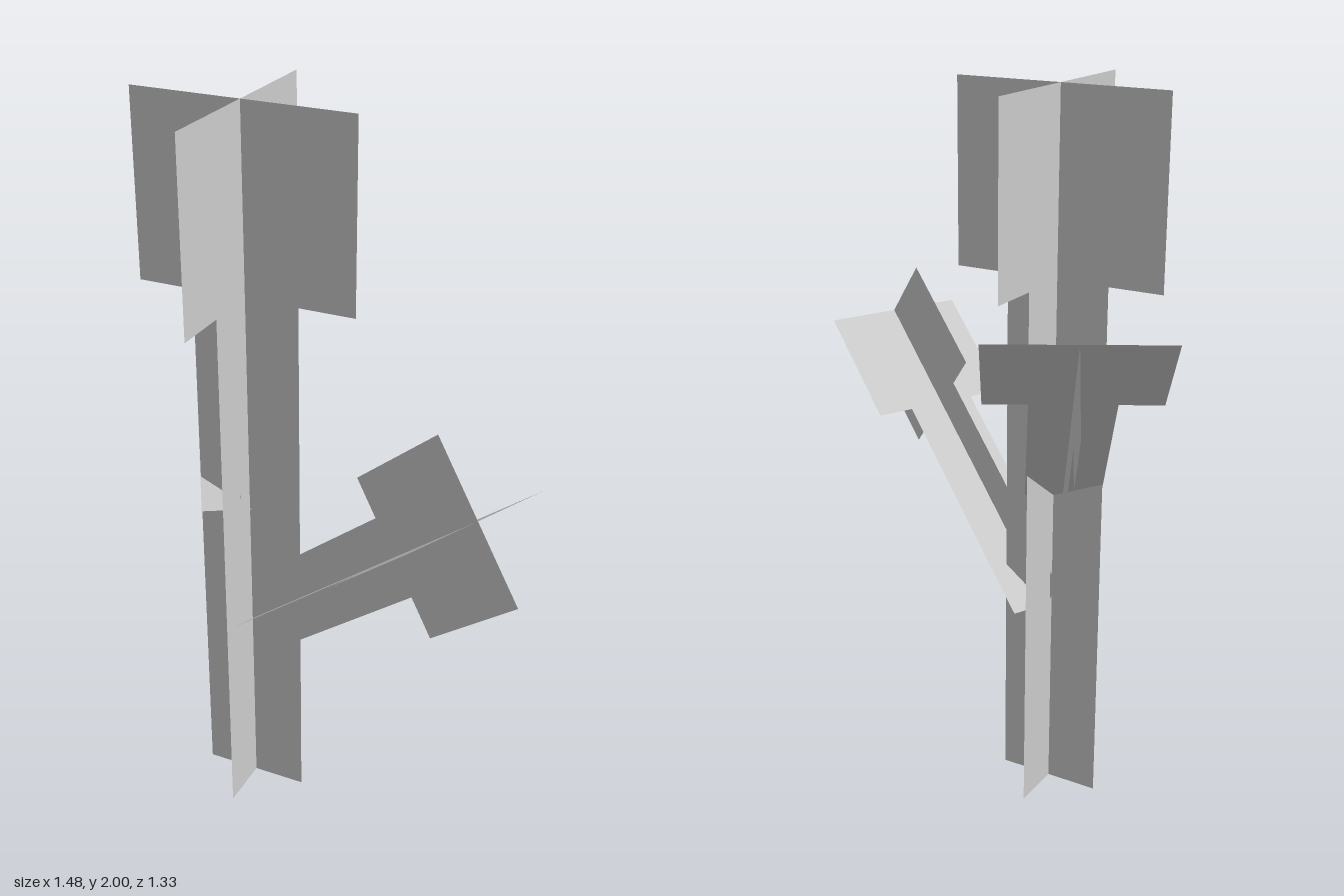
import * as THREE from 'three';

const material = new THREE.MeshStandardMaterial({
  color: 0xcccccc, flatShading: true, side: THREE.DoubleSide,
});
const rad = THREE.MathUtils.degToRad;

// Flat silhouette: narrow stalk with a wider head, growing along +y from the origin
function stemGeometry(stalkHalf, headHalf, headStart, height) {
  const right = [[stalkHalf, 0], [stalkHalf, headStart], [headHalf, headStart], [headHalf, height]];
  const left = right.map(([x, y]) => [-x, y]).reverse();
  const outline = [...right, ...left].map(([x, y]) => new THREE.Vector2(x, y));
  return new THREE.ShapeGeometry(new THREE.Shape(outline));
}

// Two identical sheets crossed at right angles
function crossedStem(name, geometry, position) {
  const group = new THREE.Group();
  group.name = name;
  for (const i of [0, 1]) {
    const sheet = new THREE.Mesh(geometry, material);
    sheet.name = `${name}Sheet${i + 1}`;
    sheet.rotation.y = i * Math.PI / 2;
    group.add(sheet);
  }
  group.position.set(...position);
  return group;
}

export function createModel() {
  const model = new THREE.Group();
  model.name = 'branchingPlant';

  // Upright main stem
  model.add(crossedStem('mainStem', stemGeometry(0.148, 0.302, 1.5, 2), [-0.135, 0, 0.13]));

  // Smaller side branches, tilted outwards and turned about the stem
  const branchGeometry = stemGeometry(0.104, 0.211, 0.7, 1.05);
  const branches = [
    ['lowerBranch', [-0.113, 0.555, 0.13], -25],
    ['upperBranch', [-0.156, 0.893, 0.145], 120],
  ];
  for (const [name, position, yaw] of branches) {
    const branch = crossedStem(name, branchGeometry, position);
    branch.rotation.set(0, rad(yaw), rad(-50), 'YZX');
    model.add(branch);
  }
  return model;
}
